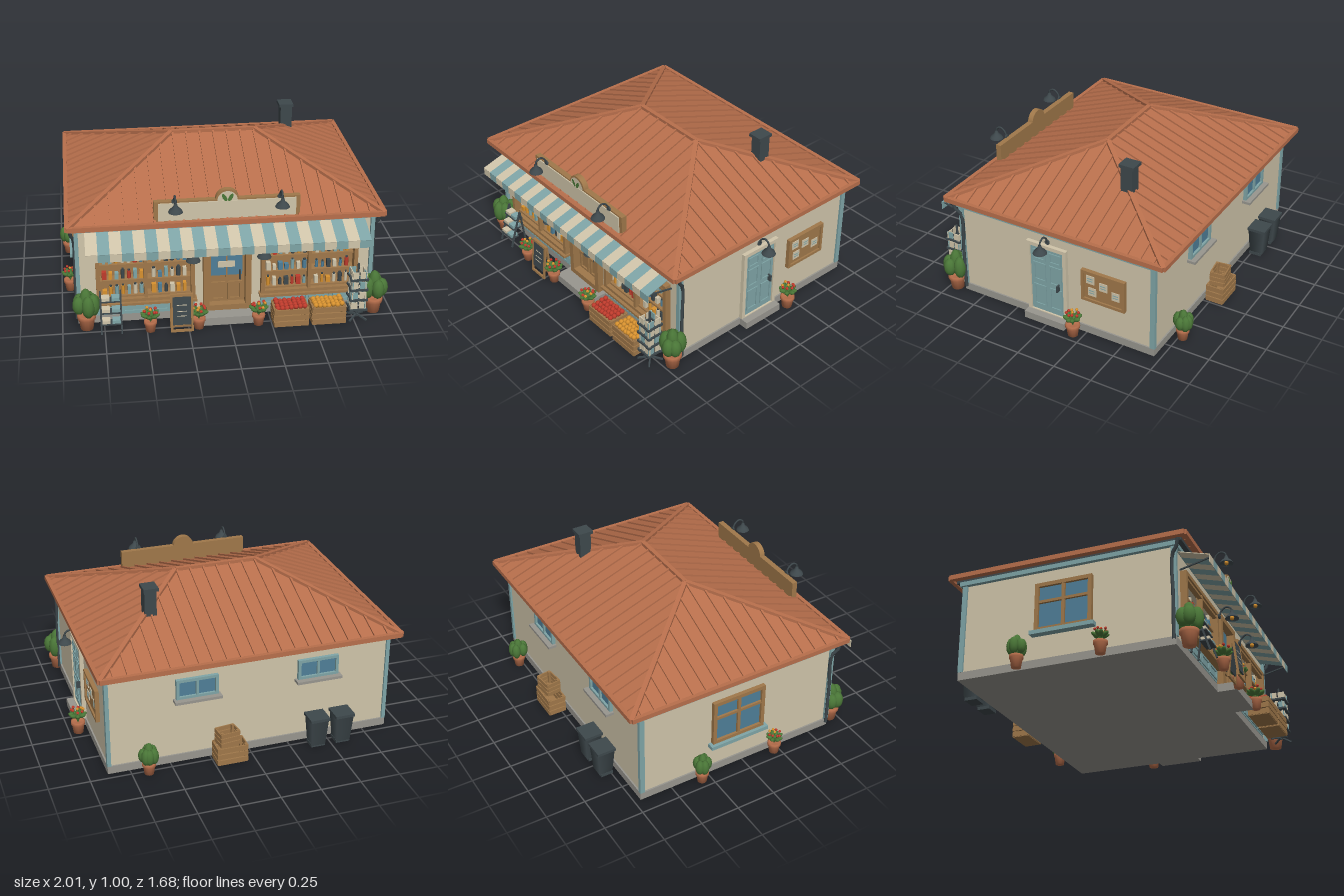
import * as THREE from 'three';

const mat = (name, color) => Object.assign(new THREE.MeshStandardMaterial({ color, side: THREE.DoubleSide }), { name });
const V = (x, y, z) => new THREE.Vector3(x, y, z);

export function createModel() {
  const root = new THREE.Group();
  root.name = 'cornerShop';
  const roofM = mat('terracotta', 0xb86f4c), cream = mat('cream', 0xd0c5aa), teal = mat('teal', 0x7fa5a7),
    wood = mat('wood', 0xa0784a), slate = mat('slate', 0x3e484c), stone = mat('stone', 0x98968f),
    green = mat('leafGreen', 0x4b7838), glass = mat('glassBlue', 0x4f7f98), red = mat('red', 0xbf3b2c), orange = mat('orange', 0xd8922f);
  let seed = 7;
  const rnd = () => (seed = (seed * 16807) % 2147483647) / 2147483647;

  // Helpers
  const add = (name, geo, m, parent = root, x = 0, y = 0, z = 0) => {
    const mesh = new THREE.Mesh(geo, m);
    mesh.name = name;
    mesh.position.set(x, y, z);
    parent.add(mesh);
    return mesh;
  };
  const slab = (name, m, x0, x1, y0, y1, z0, z1, parent = root) =>
    add(name, new THREE.BoxGeometry(x1 - x0, y1 - y0, z1 - z0), m, parent, (x0 + x1) / 2, (y0 + y1) / 2, (z0 + z1) / 2);
  const beam = (name, m, a, b, w, h, parent = root) => {
    const mesh = add(name, new THREE.BoxGeometry(w, h, a.distanceTo(b)), m, parent);
    mesh.position.copy(a).lerp(b, 0.5);
    mesh.quaternion.setFromRotationMatrix(new THREE.Matrix4().lookAt(b, a, V(0, 1, 0)));
    return mesh;
  };
  const tube = (name, m, pts, r, parent = root) =>
    add(name, new THREE.TubeGeometry(new THREE.CatmullRomCurve3(pts), 14, r, 6), m, parent);
  const group = (name, x, y, z, ry = 0) => {
    const g = new THREE.Group();
    g.name = name;
    g.position.set(x, y, z);
    g.rotation.y = ry;
    root.add(g);
    return g;
  };
  const frame = (name, m, x0, x1, y0, y1, z0, z1, t, parent = root) => {
    slab(name, m, x0, x0 + t, y0, y1, z0, z1, parent);
    slab(name, m, x1 - t, x1, y0, y1, z0, z1, parent);
    slab(name, m, x0 + t, x1 - t, y0, y0 + t, z0, z1, parent);
    slab(name, m, x0 + t, x1 - t, y1 - t, y1, z0, z1, parent);
  };

  // Walls, plinth and trims; the front wall leaves openings for the shop windows
  const L = -0.895, R = 0.875, B = -0.70, F = 0.63;
  slab('plinth', stone, L - 0.01, R + 0.01, 0, 0.05, B - 0.01, F + 0.012);
  slab('walls', cream, L, R, 0.05, 0.64, B, 0.57);
  for (const [a, b] of [[L, -0.79], [-0.2, -0.15], [0.14, 0.2], [0.79, R]]) slab('frontPier', cream, a, b, 0.05, 0.51, 0.57, F);
  slab('frontLintel', cream, L, R, 0.51, 0.64, 0.57, F);
  slab('fascia', teal, L - 0.025, R + 0.025, 0.612, 0.64, B - 0.025, F + 0.025);
  for (const x of [L, R]) for (const z of [B, F]) slab('cornerTrim', teal, x - 0.012, x + 0.012, 0.05, 0.62, z - 0.012, z + 0.02);

  // Hip roof with standing seams
  const x0 = -0.945, x1 = 0.925, zb = -0.78, zf = 0.715, zc = -0.03, e0 = -0.27, e1 = 0.25, ye = 0.665, yr = 0.943;
  const a = V(x0, ye, zf), b = V(x1, ye, zf), c = V(x1, ye, zb), d = V(x0, ye, zb), e = V(e0, yr, zc), f = V(e1, yr, zc);
  const roofGeo = new THREE.BufferGeometry().setFromPoints([a, b, f, a, f, e, b, c, f, c, d, e, c, e, f, d, a, e, d, c, b, d, b, a]);
  roofGeo.computeVertexNormals();
  add('roof', roofGeo, roofM);
  slab('gutter', slate, x0 + 0.03, x1 - 0.03, 0.637, 0.655, zb + 0.03, zf - 0.03);
  for (const [p, q] of [[a, b], [b, c], [c, d], [d, a]]) beam('eaveEdge', roofM, p, q, 0.025, 0.03);
  for (const [p, q] of [[a, e], [d, e], [b, f], [c, f], [e, f]]) beam('ridgeCap', roofM, p, q, 0.028, 0.03);
  for (let i = -10; i <= 10; i++) {
    const x = -0.01 + i * 0.085, t = Math.min(1, (x - x0) / (e0 - x0), (x1 - x) / (x1 - e1));
    for (const z of [zf, zb]) {
      const p = V(x, ye, z);
      beam('roofSeam', roofM, p, p.clone().lerp(V(x, yr, zc), t), 0.012, 0.022);
    }
  }
  for (let i = -8; i <= 8; i++) {
    const z = zc + i * 0.085, t = 1 - Math.abs(z - zc) / (zf - zc);
    for (const [xe, xr] of [[x0, e0], [x1, e1]]) {
      const p = V(xe, ye, z);
      beam('roofSeam', roofM, p, p.clone().lerp(V(xr, yr, z), t), 0.012, 0.022);
    }
  }
  slab('chimney', slate, 0.468, 0.542, 0.78, 0.98, -0.365, -0.288);
  slab('chimneyCap', slate, 0.456, 0.548, 0.98, 1.0, -0.377, -0.276);
  for (const s of [-1, 1]) {
    const px = -0.01 + s * 0.9;
    tube('downpipe', slate, [V(px + s * 0.02, 0.645, 0.67), V(px + s * 0.015, 0.6, 0.66), V(px, 0.56, 0.63), V(px, 0.3, 0.63), V(px, 0.03, 0.63)], 0.011);
  }

  // Arched sign board with leaf ornament
  const board = new THREE.Shape();
  board.moveTo(-0.44, 0.645).lineTo(0.42, 0.645).lineTo(0.42, 0.8).lineTo(0.06, 0.8);
  board.absarc(-0.01, 0.79, 0.07, 0.14, Math.PI - 0.14, false);
  board.lineTo(-0.44, 0.8);
  add('signBoard', new THREE.ExtrudeGeometry(board, { depth: 0.035, bevelEnabled: false, curveSegments: 20 }), wood, root, 0, 0, 0.652);
  slab('signPanel', cream, -0.415, 0.395, 0.68, 0.79, 0.687, 0.694);
  add('signArch', new THREE.CircleGeometry(0.06, 20, 0, Math.PI), cream, root, -0.01, 0.79, 0.69);
  for (const s of [-1, 1]) {
    const leaf = add('leafOrnament', new THREE.CircleGeometry(0.026, 12), green, root, -0.01 + s * 0.018, 0.812, 0.697);
    leaf.scale.x = 0.45;
    leaf.rotation.z = -s * 0.5;
  }

  // Gooseneck lamps
  const lamp = (x, y, z, ry = 0) => {
    const g = group('gooseneckLamp', x, y, z, ry);
    const plate = add('lampMount', new THREE.CylinderGeometry(0.016, 0.016, 0.01, 10), slate, g);
    plate.rotation.x = Math.PI / 2;
    tube('lampArm', slate, [V(0, 0, 0), V(0, 0.035, 0.015), V(0, 0.055, 0.045), V(0, 0.04, 0.075), V(0, 0.01, 0.08)], 0.006, g);
    const prof = [[0.008, 0.025], [0.014, 0.005], [0.036, -0.016], [0.043, -0.03]].map(p => new THREE.Vector2(...p));
    add('lampShade', new THREE.LatheGeometry(prof.reverse(), 14), slate, g, 0, 0, 0.08);
    add('bulb', new THREE.SphereGeometry(0.014, 8, 6), orange, g, 0, -0.026, 0.08);
  };
  lamp(-0.32, 0.8, 0.688);
  lamp(0.3, 0.8, 0.688);
  lamp(-0.22, 0.475, 0.68);
  lamp(0.2, 0.475, 0.68);
  lamp(0.878, 0.555, 0.015, Math.PI / 2);

  // Striped awning with valance and arms
  const sw = 1.67 / 24;
  for (let i = 0; i < 24; i++) {
    const m = i % 2 ? teal : cream, sx = -0.845 + i * sw;
    beam('awningStripe', m, V(sx + sw / 2, 0.605, 0.64), V(sx + sw / 2, 0.55, 0.828), sw, 0.005);
    slab('awningValance', m, sx, sx + sw, 0.502, 0.551, 0.824, 0.828);
  }
  for (const x of [-0.82, 0.81]) beam('awningArm', slate, V(x, 0.5, 0.64), V(x, 0.545, 0.825), 0.008, 0.008);

  // Shop windows with stocked shelves
  const goods = [cream, glass, orange, red, teal, cream, slate];
  for (const [wx0, wx1] of [[-0.79, -0.2], [0.2, 0.79]]) {
    const mid = (wx0 + wx1) / 2;
    slab('shelfBack', wood, wx0, wx1, 0.14, 0.51, 0.57, 0.576);
    frame('shopWindowFrame', wood, wx0, wx1, 0.14, 0.51, 0.62, 0.67, 0.024);
    slab('windowMullion', wood, mid - 0.01, mid + 0.01, 0.16, 0.49, 0.63, 0.665);
    slab('windowTransom', wood, wx0, wx1, 0.462, 0.476, 0.64, 0.665);
    slab('windowSill', wood, wx0 - 0.01, wx1 + 0.01, 0.13, 0.145, 0.6, 0.69);
    slab('stallPanel', teal, wx0, wx1, 0.05, 0.13, 0.57, 0.645);
    for (let i = 0; i < 4; i++) frame('stallMoulding', teal, wx0 + 0.01 + i * 0.145, wx0 + 0.145 + i * 0.145, 0.062, 0.122, 0.645, 0.652, 0.012);
    for (const y of [0.175, 0.28, 0.385]) {
      slab('shelf', wood, wx0 + 0.02, wx1 - 0.02, y - 0.012, y, 0.576, 0.642);
      for (let px = wx0 + 0.05; px < wx1 - 0.04; px += 0.037) {
        if (Math.abs(px - mid) < 0.018) continue;
        const h = 0.03 + rnd() * 0.03, r = 0.009 + rnd() * 0.005, m = goods[Math.floor(rnd() * goods.length)];
        if (rnd() < 0.5) slab('packet', m, px - r, px + r, y, y + h, 0.6, 0.63);
        else {
          add('jar', new THREE.CylinderGeometry(r, r, h, 8), m, root, px, y + h / 2, 0.615);
          add('jarLid', new THREE.CylinderGeometry(r * 0.6, r * 0.6, 0.01, 8), slate, root, px, y + h + 0.005, 0.615);
        }
      }
    }
  }

  // Front door and step
  slab('frontStep', stone, -0.18, 0.17, 0, 0.05, 0.63, 0.76);
  slab('doorLeaf', wood, -0.15, 0.14, 0.05, 0.51, 0.57, 0.62);
  frame('doorFrame', wood, -0.15, 0.14, 0.05, 0.53, 0.6, 0.67, 0.035);
  slab('doorGlass', glass, -0.1, 0.09, 0.265, 0.495, 0.62, 0.626);
  slab('doorMullion', wood, -0.01, 0, 0.25, 0.495, 0.62, 0.634);
  for (const x of [-0.1, 0.003]) frame('doorPanel', wood, x, x + 0.087, 0.095, 0.22, 0.62, 0.63, 0.014);
  slab('doorCard', cream, -0.06, 0.045, 0.325, 0.365, 0.634, 0.639);
  slab('doorHandle', slate, 0.07, 0.08, 0.24, 0.3, 0.62, 0.65);

  // Right side: door, step and notice board, built facing +z and turned
  const side = group('rightSide', R, 0, 0, Math.PI / 2);
  slab('sideStep', stone, -0.155, 0.125, 0, 0.048, 0, 0.07, side);
  frame('sideDoorFrame', cream, -0.153, 0.123, 0.03, 0.538, 0, 0.025, 0.024, side);
  slab('sideDoor', teal, -0.13, 0.1, 0.05, 0.515, 0, 0.014, side);
  for (const px of [-0.11, 0.0]) for (const [p, q] of [[0.09, 0.24], [0.27, 0.4], [0.42, 0.49]])
    frame('sideDoorPanel', teal, px, px + 0.085, p, q, 0.014, 0.02, 0.01, side);
  slab('sideDoorHandle', slate, 0.06, 0.07, 0.24, 0.285, 0.014, 0.04, side);
  slab('noticeBoard', wood, 0.228, 0.515, 0.25, 0.455, 0, 0.015, side);
  frame('noticeBoardFrame', wood, 0.225, 0.518, 0.247, 0.458, 0, 0.026, 0.018, side);
  for (const [px, py] of [[0.285, 0.398], [0.373, 0.372], [0.455, 0.335], [0.297, 0.316]]) {
    slab('notice', cream, px - 0.027, px + 0.027, py - 0.028, py + 0.028, 0.015, 0.019, side);
    for (const k of [-0.01, 0.006]) slab('noticeLine', teal, px - 0.018, px + 0.018, py + k, py + k + 0.005, 0.019, 0.021, side);
  }

  // Left side window
  const left = group('leftWindow', L, 0, -0.04, -Math.PI / 2);
  slab('leftGlass', glass, -0.17, 0.17, 0.23, 0.52, 0, 0.008, left);
  frame('leftFrame', wood, -0.18, 0.18, 0.22, 0.53, 0, 0.025, 0.024, left);
  slab('leftMullion', wood, -0.01, 0.01, 0.23, 0.52, 0, 0.022, left);
  slab('leftTransom', wood, -0.17, 0.17, 0.4, 0.417, 0, 0.022, left);
  slab('leftSill', teal, -0.2, 0.2, 0.197, 0.222, 0, 0.045, left);

  // Back windows
  for (const x of [0.33, -0.435]) {
    const g = group('backWindow', x, 0, B, Math.PI);
    slab('backGlass', glass, -0.12, 0.12, 0.44, 0.55, 0, 0.008, g);
    frame('backFrame', teal, -0.13, 0.13, 0.43, 0.56, 0, 0.022, 0.018, g);
    slab('backMullion', teal, -0.008, 0.008, 0.44, 0.55, 0, 0.02, g);
    slab('backSill', stone, -0.145, 0.145, 0.415, 0.432, 0, 0.055, g);
  }

  // Potted plants
  const plant = (x, z, pr, ph, h, w, flower) => {
    const g = group(flower ? 'flowerPot' : 'pottedBush', x, 0, z, x * 5);
    const prof = [[0, 0], [pr * 0.68, 0], [pr * 0.88, ph * 0.75], [pr, ph * 0.75], [pr, ph], [pr * 0.8, ph], [0, ph * 0.9]];
    add('pot', new THREE.LatheGeometry(prof.map(p => new THREE.Vector2(...p)), 14), roofM, g);
    const fh = h - ph, n = flower ? 9 : 7;
    for (let i = 0; i < n; i++) {
      const t = i * 2.4, r = i ? w * 0.27 : 0;
      const leaf = add('foliage', new THREE.IcosahedronGeometry(1, 1), green, g, Math.cos(t) * r, ph + fh * (flower ? 0.45 : i ? 0.4 : 0.5), Math.sin(t) * r);
      if (flower) {
        leaf.scale.set(w * 0.24, fh * 0.14, w * 0.13);
        leaf.rotation.set(0, -t, 0.5);
        add('blossom', new THREE.IcosahedronGeometry(w * 0.085, 0), i % 3 ? red : orange, g, Math.cos(t) * r * 1.1, ph + fh * (0.7 + 0.22 * rnd()), Math.sin(t) * r * 1.1);
        beam('stem', green, V(0, ph * 0.9, 0), V(Math.cos(t) * r, ph + fh * 0.75, Math.sin(t) * r), 0.004, 0.004, g);
      } else leaf.scale.set(w * 0.23, fh * (i ? 0.33 + 0.1 * rnd() : 0.5), w * 0.23);
    }
  };
  plant(-0.855, 0.7, 0.056, 0.095, 0.27, 0.17, false);
  plant(0.89, 0.7, 0.056, 0.095, 0.28, 0.17, false);
  plant(-0.945, -0.31, 0.042, 0.075, 0.21, 0.12, false);
  plant(0.65, -0.775, 0.042, 0.075, 0.21, 0.13, false);
  plant(-0.945, 0.21, 0.042, 0.075, 0.16, 0.11, true);
  plant(0.945, -0.19, 0.045, 0.08, 0.18, 0.12, true);
  for (const x of [-0.48, -0.19, 0.17]) plant(x, 0.775, 0.04, 0.07, 0.15, 0.125, true);

  // Slatted crates, optionally filled with fruit
  const crate = (x, y, z, w, h, dd, ry, fruit) => {
    const g = group('crate', x, y, z, ry);
    for (let i = 0; i < 3; i++) {
      const y0 = h * (0.03 + i * 0.33), y1 = y0 + h * 0.27;
      for (const s of [-1, 1]) {
        slab('crateSlat', wood, -w / 2, w / 2, y0, y1, s * dd / 2 - 0.004, s * dd / 2 + 0.004, g);
        slab('crateSlat', wood, s * w / 2 - 0.004, s * w / 2 + 0.004, y0, y1, -dd / 2, dd / 2, g);
      }
    }
    for (const sx of [-1, 1]) for (const sz of [-1, 1])
      slab('cratePost', wood, sx * (w / 2 - 0.01) - 0.008, sx * (w / 2 - 0.01) + 0.008, 0, h, sz * (dd / 2 - 0.01) - 0.008, sz * (dd / 2 - 0.01) + 0.008, g);
    slab('crateFloor', wood, -w / 2, w / 2, 0, 0.008, -dd / 2, dd / 2, g);
    if (!fruit) return;
    slab('crateFill', wood, -w / 2, w / 2, h * 0.7, h * 0.8, -dd / 2, dd / 2, g);
    for (let i = 0; i < 7; i++) for (let j = 0; j < 4; j++)
      add('fruit', new THREE.SphereGeometry(0.016, 8, 6), fruit, g, (i - 3) * w * 0.132, h * 0.96 + rnd() * 0.012, (j - 1.5) * dd * 0.23);
  };
  crate(0.362, 0, 0.765, 0.205, 0.12, 0.13, 0, red);
  crate(0.59, 0, 0.765, 0.2, 0.12, 0.13, 0, orange);
  crate(0.147, 0, -0.78, 0.185, 0.12, 0.11, 0);
  crate(0.165, 0.12, -0.78, 0.12, 0.095, 0.09, 0.12);

  // Wheelie bins
  for (const x of [-0.573, -0.41]) {
    const g = group('bin', x, 0, -0.785);
    const body = add('binBody', new THREE.CylinderGeometry(0.078, 0.06, 0.17, 4).rotateY(Math.PI / 4), slate, g, 0, 0.1, 0);
    body.material = slate;
    slab('binLid', slate, -0.062, 0.062, 0.185, 0.203, -0.06, 0.06, g);
    slab('binFoot', slate, -0.045, 0.045, 0, 0.02, -0.035, 0.045, g);
  }

  // Chalkboard A-frame
  for (const s of [-1, 1]) {
    const g = group('chalkboard', -0.295, 0.01, 0.795 + s * 0.03);
    g.rotation.x = -s * 0.11;
    frame('chalkboardFrame', wood, -0.068, 0.068, 0, 0.24, -0.006, 0.006, 0.014, g);
    slab('chalkPanel', slate, -0.056, 0.056, 0.045, 0.228, -0.004, 0.004, g);
    if (s > 0) for (const y of [0.1, 0.13, 0.17]) slab('chalkMark', cream, -0.03, 0.03, y, y + 0.004, 0.004, 0.006, g);
  }

  // Tiered newspaper rack
  for (const x of [-0.77, -0.65]) {
    beam('rackLeg', slate, V(x, 0, 0.79), V(x, 0.25, 0.71), 0.01, 0.01);
    beam('rackLeg', slate, V(x, 0, 0.68), V(x, 0.25, 0.71), 0.01, 0.01);
  }
  for (const [y, z] of [[0.06, 0.765], [0.125, 0.745], [0.19, 0.725]]) {
    slab('rackTray', slate, -0.77, -0.65, y, y + 0.008, z - 0.035, z + 0.025);
    for (const [x, m] of [[-0.74, cream], [-0.68, teal]]) slab('paperStack', m, x - 0.024, x + 0.024, y + 0.008, y + 0.028, z - 0.03, z + 0.02);
  }

  // Revolving card stand
  const stand = group('cardStand', 0.77, 0, 0.77);
  add('standPole', new THREE.CylinderGeometry(0.007, 0.007, 0.36, 8), slate, stand, 0, 0.19, 0);
  for (let k = 0; k < 4; k++) {
    const t = k * Math.PI / 2;
    beam('standFoot', slate, V(0, 0.025, 0), V(Math.cos(t + 0.78) * 0.075, 0.006, Math.sin(t + 0.78) * 0.075), 0.01, 0.01, stand);
    const face = new THREE.Group();
    face.name = 'cardFace';
    face.rotation.y = t;
    stand.add(face);
    for (let i = 0; i < 4; i++) {
      const y = 0.07 + i * 0.068;
      slab('cardPocket', slate, -0.055, 0.055, y, y + 0.012, 0.03, 0.052, face);
      for (const s of [-1, 1]) slab('card', (i + k + s) % 3 ? cream : teal, s * 0.026 - 0.021, s * 0.026 + 0.021, y + 0.01, y + 0.055, 0.036, 0.042, face);
    }
  }
  return root;
}
